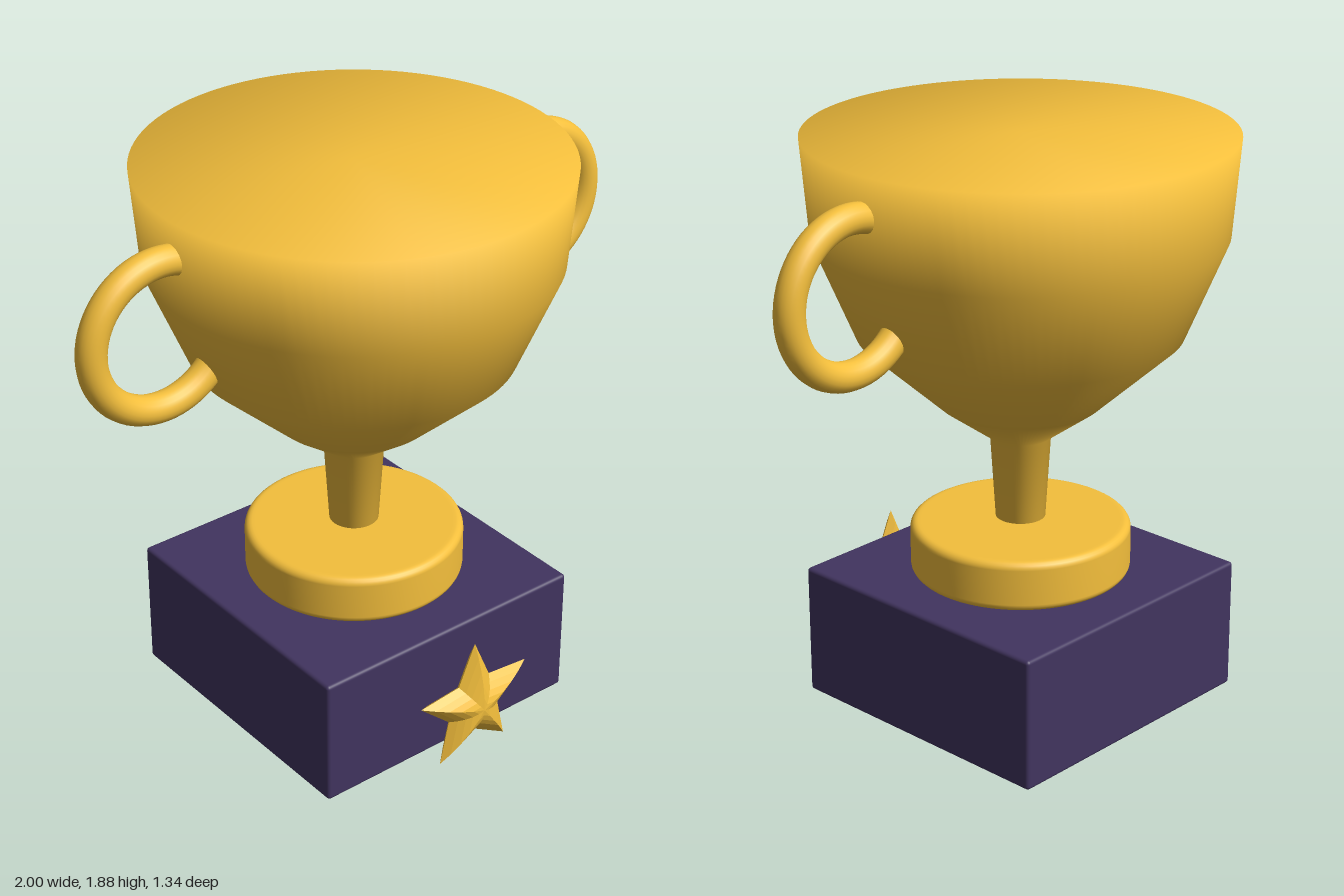
import * as THREE from 'three';
import { RoundedBoxGeometry } from 'three/addons/geometries/RoundedBoxGeometry.js';

const gold = new THREE.MeshStandardMaterial({ color: 0xf4bf3c });
const goldFaceted = new THREE.MeshStandardMaterial({ color: 0xf4bf3c, flatShading: true });
const purple = new THREE.MeshStandardMaterial({ color: 0x41345f });

function lathe(points, segments = 96) {
  return new THREE.LatheGeometry(points.map(([r, y]) => new THREE.Vector2(r, y)), segments);
}

// Five-pointed star with lens-shaped front and back, built from scaled rings of its outline
function starGeometry(outer, inner, depth) {
  const rings = 5, corners = 10, positions = [];
  const point = (ring, i, side) => {
    const t = ring / rings;
    const r = t * (i % 2 ? inner : outer);
    const a = Math.PI / 2 + (i * Math.PI * 2) / corners;
    return [r * Math.cos(a), r * Math.sin(a), side * depth * (1 - t * t)];
  };
  for (const side of [1, -1]) {
    for (let k = 0; k < rings; k++) {
      for (let i = 0; i < corners; i++) {
        const a = point(k, i, side), b = point(k + 1, i, side);
        const c = point(k + 1, i + 1, side), d = point(k, i + 1, side);
        const tris = k === 0 ? [[a, b, c]] : [[a, b, c], [a, c, d]];
        for (const [p, q, r] of tris) positions.push(...p, ...(side > 0 ? [...q, ...r] : [...r, ...q]));
      }
    }
  }
  const geometry = new THREE.BufferGeometry();
  geometry.setAttribute('position', new THREE.Float32BufferAttribute(positions, 3));
  geometry.computeVertexNormals();
  return geometry;
}

export function createModel() {
  const model = new THREE.Group();
  model.name = 'trophy';
  const add = (name, geometry, material, x = 0, y = 0, z = 0) => {
    const mesh = new THREE.Mesh(geometry, material);
    mesh.name = name;
    mesh.position.set(x, y, z);
    model.add(mesh);
  };

  // Square plinth
  add('plinth', new RoundedBoxGeometry(0.98, 0.44, 0.98, 3, 0.012), purple, 0, 0.225, 0);

  // Round foot with softened edges
  const foot = [[0, 0.445], [0.33, 0.445]];
  const bottom = 0.445, top = 0.612, radius = 0.355, bevel = 0.025;
  for (let i = 0; i <= 5; i++) {
    const a = (i / 5) * Math.PI / 2;
    foot.push([radius - bevel + bevel * Math.sin(a), bottom + bevel - bevel * Math.cos(a)]);
  }
  for (let i = 0; i <= 5; i++) {
    const a = (i / 5) * Math.PI / 2;
    foot.push([radius - bevel + bevel * Math.cos(a), top - bevel + bevel * Math.sin(a)]);
  }
  foot.push([0.32, top], [0, top]);
  add('foot', lathe(foot), gold);

  // Stem and closed cup in one smooth profile
  add('cup', lathe([
    [0, 0.625], [0.08, 0.625], [0.097, 0.9], [0.26, 1.02],
    [0.515, 1.255], [0.647, 1.575], [0.672, 1.89], [0, 1.89],
  ]), gold);

  // Ring handles, their inner halves sunk in the cup
  for (const [name, side] of [['leftHandle', 1], ['rightHandle', -1]]) {
    add(name, new THREE.TorusGeometry(0.236, 0.047, 20, 72), gold, side * 0.716, 1.535, 0);
  }

  // Star ornament in front of the plinth
  add('star', starGeometry(0.226, 0.105, 0.055), goldFaceted, 0, 0.229, 0.605);

  return model;
}
